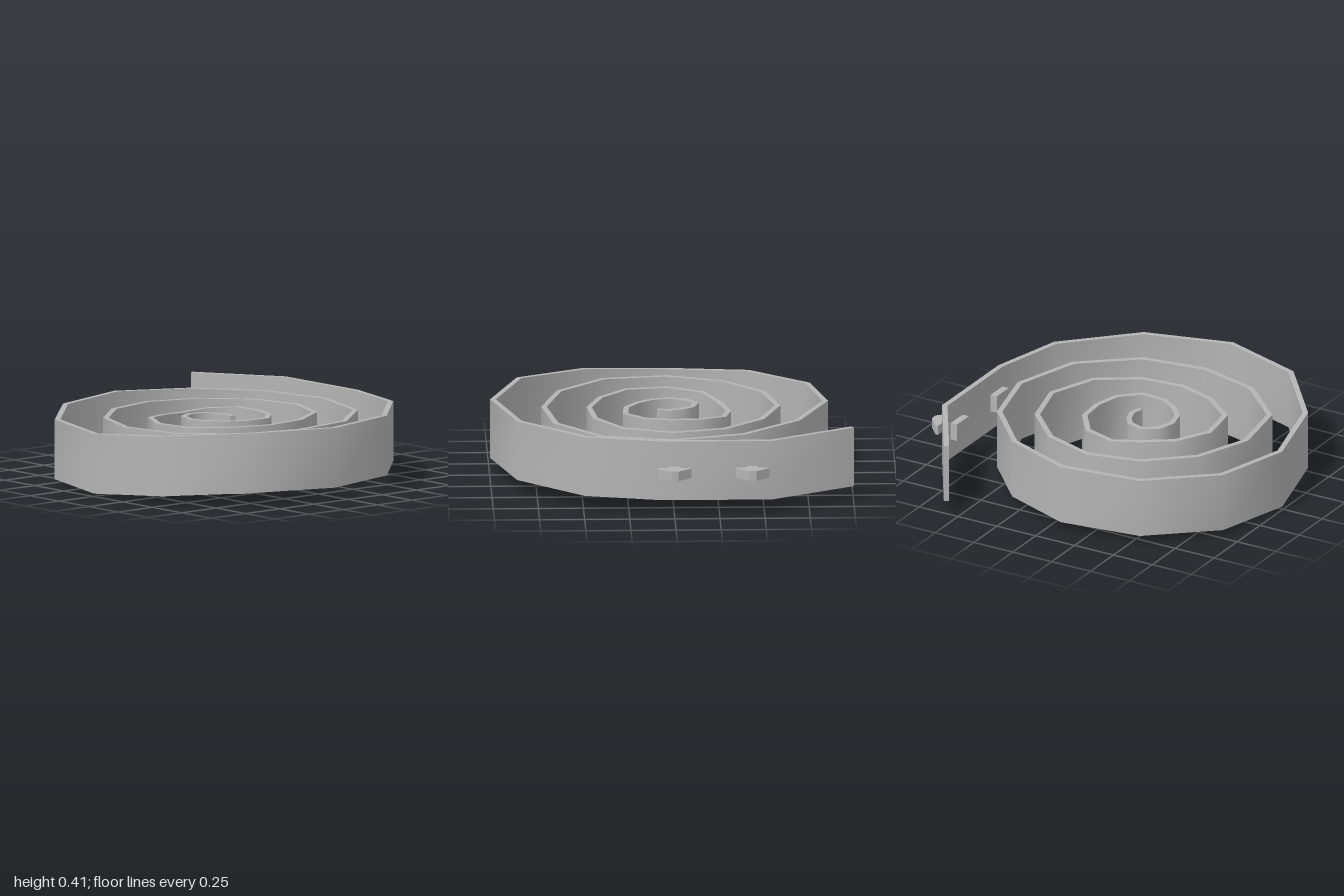
import * as THREE from 'three';

const HALF = 0.015, HEIGHT = 0.335, CENTRE_X = -0.09;

// Coil radius at every twelfth of a turn, one row per turn
const RADII = [
  [0.081, 0.122, 0.17, 0.192, 0.195, 0.197, 0.204, 0.241, 0.287, 0.288],
  [0.285, 0.316, 0.34, 0.325, 0.318, 0.38, 0.435, 0.461, 0.438, 0.447, 0.484, 0.544],
  [0.578, 0.578, 0.579, 0.597, 0.609, 0.631, 0.67, 0.708, 0.698, 0.697, 0.739, 0.776],
  [0.784, 0.787, 0.807, 0.862, 0.893, 0.904, 0.89, 0.907, 0.949, 0.98, 0.976, 0.974],
];

// Height of the lower edge at a few corners of the coil: corner number, y
const EDGE = [[0, 0.03], [13, 0.03], [15, 0.005], [17, 0.03], [35, 0.037], [39, 0.06], [42, 0.02], [44, 0.08], [50, 0.08]];

function edgeHeight(i) {
  const k = Math.max(1, EDGE.findIndex(([index]) => index >= i));
  const [i0, y0] = EDGE[k - 1], [i1, y1] = EDGE[k];
  return THREE.MathUtils.lerp(y0, y1, (i - i0) / (i1 - i0));
}

// Centreline in plan (x, z): inner hook, spiral, straight free end
function coilPath() {
  const spiral = RADII.flat().map((r, k) => {
    const angle = (k + 2) * Math.PI / 6;
    return new THREE.Vector2(CENTRE_X + r * Math.cos(angle), -r * Math.sin(angle));
  });
  const hook = [new THREE.Vector2(-0.04, 0.07), new THREE.Vector2(-0.025, 0.005)];
  const freeEnd = [[0.859, 0.07], [0.859, -0.537], [0.577, -0.995]].map(([x, z]) => new THREE.Vector2(x, z));
  return [...hook, ...spiral, ...freeEnd];
}

// Thick band with mitred corners, smooth walls and sharp rims
function bandGeometry() {
  const path = coilPath(), last = path.length - 1;
  const normals = path.slice(1).map((b, i) => new THREE.Vector2(path[i].y - b.y, b.x - path[i].x).normalize());
  const outBot = [], outTop = [], inTop = [], inBot = [];
  path.forEach(({ x, y: z }, i) => {
    const a = normals[Math.max(i - 1, 0)], b = normals[Math.min(i, last - 1)];
    const n = a.clone().add(b).normalize();
    n.multiplyScalar(HALF / n.dot(a));
    const y = edgeHeight(i);
    outBot.push([x + n.x, y, z + n.y]);
    outTop.push([x + n.x, y + HEIGHT, z + n.y]);
    inTop.push([x - n.x, y + HEIGHT, z - n.y]);
    inBot.push([x - n.x, y, z - n.y]);
  });

  const positions = [], indices = [];
  const addStrip = (rowA, rowB) => {
    const base = positions.length / 3, n = rowA.length;
    [...rowA, ...rowB].forEach((p) => positions.push(...p));
    for (let i = 0; i < n - 1; i++) {
      const a = base + i, b = a + n;
      indices.push(a, a + 1, b + 1, a, b + 1, b);
    }
  };
  addStrip(outBot, outTop);
  addStrip(outTop, inTop);
  addStrip(inTop, inBot);
  addStrip(inBot, outBot);
  // End caps
  addStrip([inBot[0], outBot[0]], [inTop[0], outTop[0]]);
  addStrip([outBot[last], inBot[last]], [outTop[last], inTop[last]]);

  const geometry = new THREE.BufferGeometry();
  geometry.setAttribute('position', new THREE.Float32BufferAttribute(positions, 3));
  geometry.setIndex(indices);
  geometry.computeVertexNormals();
  return geometry;
}

// Arrow-shaped catch on the outside with a square pad on the inside
function makeCatch(material) {
  const group = new THREE.Group();
  group.name = 'catch';

  const half = [[0.86, 0.03], [0.91, 0.03], [0.91, 0.093], [0.925, 0.093], [0.992, 0.02]];
  const mirrored = half.map(([x, z]) => [x, -z]).reverse();
  const shape = new THREE.Shape([...half, ...mirrored].map(([x, z]) => new THREE.Vector2(x, z)));
  const arrowGeometry = new THREE.ExtrudeGeometry(shape, { depth: 0.055, bevelEnabled: false });
  arrowGeometry.rotateX(Math.PI / 2);
  const arrow = new THREE.Mesh(arrowGeometry, material);
  arrow.name = 'catchArrow';
  arrow.position.y = 0.273;

  const pad = new THREE.Mesh(new THREE.BoxGeometry(0.045, 0.1, 0.13), material);
  pad.name = 'catchPad';
  pad.position.set(0.826, 0.245, 0);

  group.add(arrow, pad);
  return group;
}

export function createModel() {
  const model = new THREE.Group();
  model.name = 'coiledStrap';
  const grey = new THREE.MeshStandardMaterial({ color: 0xb4b4b4 });
  grey.name = 'strapGrey';

  const band = new THREE.Mesh(bandGeometry(), grey);
  band.name = 'coiledBand';
  model.add(band);

  for (const z of [0, -0.433]) {
    const strapCatch = makeCatch(grey);
    strapCatch.position.z = z;
    model.add(strapCatch);
  }
  return model;
}
